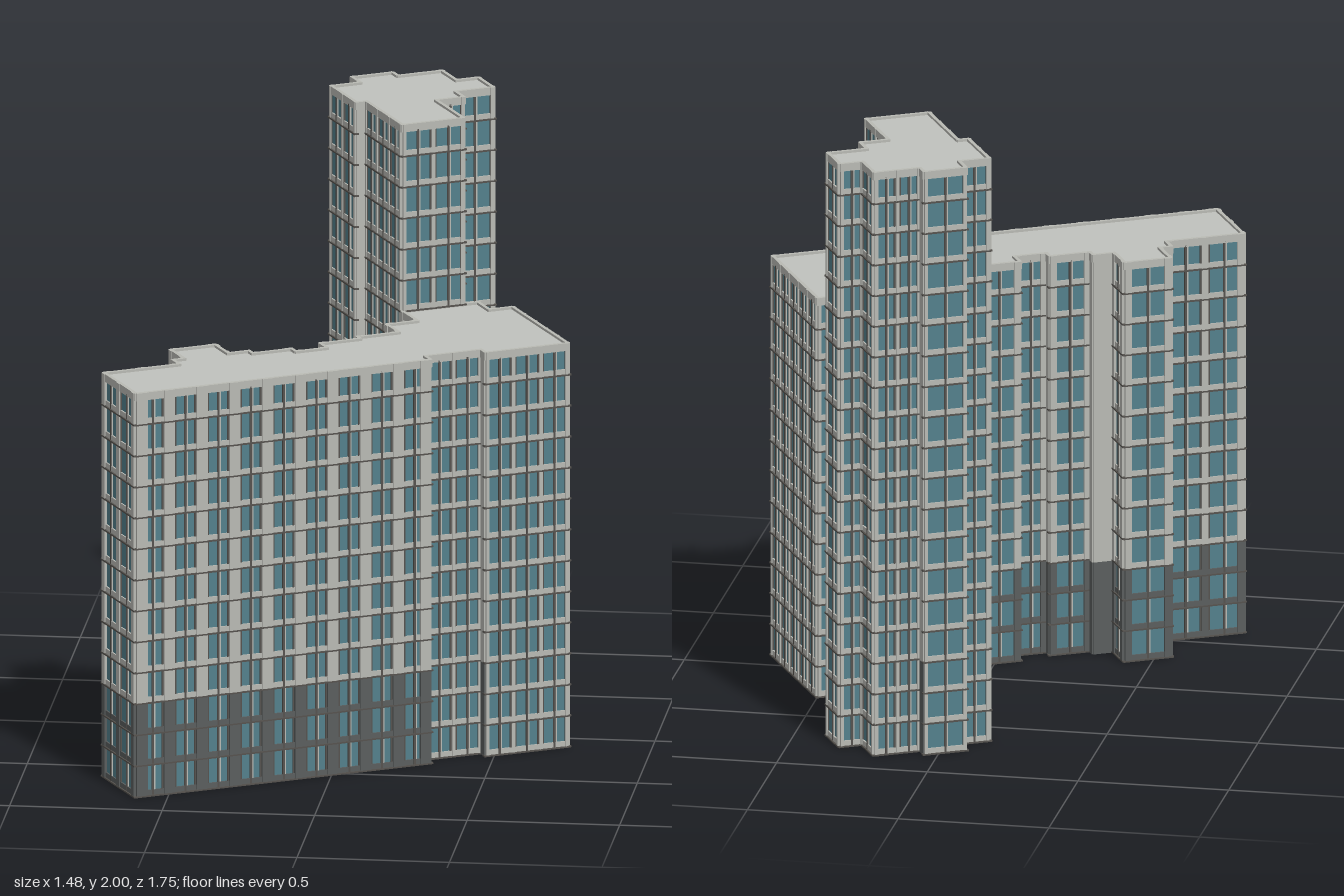
import * as THREE from 'three';
import { mergeGeometries } from 'three/addons/utils/BufferGeometryUtils.js';

const FLOOR = 0.105;   // storey height
const BASE = 0.315;    // top of the dark podium storeys

const mat = (name, color) => {
  const m = new THREE.MeshStandardMaterial({ color });
  m.name = name;
  return m;
};

// Stepped plans in the building's own axes: [along the long front, towards the front]
const MAIN = [
  [-0.945, 0.452], [0.095, 0.452], [0.095, 0.406], [0.292, 0.406], [0.292, 0.444], [0.583, 0.444],
  [0.583, -0.02], [0.5, -0.02], [0.5, -0.115], [0.233, -0.115], [0.233, 0.013], [0.125, 0.013],
  [0.125, 0.113], [-0.02, 0.113], [-0.02, 0.135], [-0.162, 0.135], [-0.162, 0.192], [-0.272, 0.192],
  [-0.272, 0.158], [-0.41, 0.158], [-0.41, 0.126], [-0.483, 0.126], [-0.483, 0.018], [-0.64, 0.018],
  [-0.64, 0.13], [-0.68, 0.13], [-0.68, 0.185], [-0.945, 0.185],
];
const TOWER = [
  [0.233, -0.115], [0.448, -0.115], [0.448, -0.343], [0.545, -0.343], [0.545, -0.412], [0.678, -0.412],
  [0.678, -0.537], [0.6, -0.537], [0.6, -0.657], [0.444, -0.657], [0.444, -0.7], [0.3, -0.7],
  [0.3, -0.63], [0.198, -0.63], [0.198, -0.417], [0.234, -0.417],
];

export function createModel() {
  const model = new THREE.Group();
  model.name = 'officeBuilding';
  const plan = new THREE.Group();
  plan.name = 'rotatedPlan';
  plan.rotation.y = 0.512;
  model.add(plan);

  const glass = mat('blue glass', 0x53808c);
  const stone = mat('light stone', 0xb9bab4);
  const dark = mat('dark podium stone', 0x5a5e5e);
  const frame = mat('window frame', 0x55524e);
  const roofMat = mat('roof grey', 0xc0c2bd);

  function wing(name, pts, height, isCurtain) {
    const group = new THREE.Group();
    group.name = name;
    plan.add(group);

    // Glass body with a flat roof
    const shape = new THREE.Shape(pts.map(([u, v]) => new THREE.Vector2(u, -v)));
    const body = new THREE.ExtrudeGeometry(shape, { depth: height - 0.008, bevelEnabled: false });
    body.rotateX(-Math.PI / 2);
    const core = new THREE.Mesh(body, [roofMat, glass]);
    core.name = 'glassBodyAndRoof';
    group.add(core);

    const parts = { wallPiersAndBands: [], podiumPiersAndBands: [], windowFrames: [] };
    const floors = Math.round(height / FLOOR);

    pts.forEach((a, i) => {
      const b = pts[(i + 1) % pts.length];
      const du = b[0] - a[0], dv = b[1] - a[1];
      const len = Math.hypot(du, dv), angle = Math.atan2(-dv, du);

      // Box on this wall: s along the wall, y0..y1 in height, standing out by d
      const put = (list, s, w, y0, y1, d) => {
        const g = new THREE.BoxGeometry(w, y1 - y0, d + 0.006);
        g.translate(s - len / 2, (y0 + y1) / 2, d / 2 - 0.003);
        g.rotateY(angle);
        g.translate((a[0] + b[0]) / 2, 0, (a[1] + b[1]) / 2);
        parts[list].push(g);
      };
      const pier = (s, w, d) => {
        put('podiumPiersAndBands', s, w, 0, BASE, d);
        put('wallPiersAndBands', s, w, BASE, height, d);
      };

      // Parapet
      put('wallPiersAndBands', len / 2, len + 0.008, height - 0.026, height, 0.006);

      // Short returns are solid wall
      if (len < 0.075) {
        pier(len / 2, len, 0.004);
        return;
      }

      // Floor bands with a thin projecting sill
      const curtain = isCurtain(i);
      for (let k = 0; k < floors; k++) {
        const y = k * FLOOR;
        const list = !curtain && y < BASE - 0.01 ? 'podiumPiersAndBands' : 'wallPiersAndBands';
        put(list, len / 2, len, y + 0.004, y + 0.022, 0.005);
        put('windowFrames', len / 2, len + 0.014, y, y + 0.005, 0.01);
      }

      // Piers at the bay lines and slim frames inside each bay
      const bays = Math.max(1, Math.round(len / (curtain ? 0.1 : 0.115)));
      const pitch = len / bays;
      const w = curtain ? 0.011 : i === 0 ? 0.038 : 0.022;
      for (let k = 0; k <= bays; k++) {
        const s = THREE.MathUtils.clamp(k * pitch, w / 2, len - w / 2);
        if (curtain) put('wallPiersAndBands', s, w, 0, height, 0.008);
        else pier(s, w, 0.009);
        if (k === bays) break;
        const mid = (k + 0.5) * pitch;
        put('windowFrames', mid, 0.007, 0, height - 0.02, 0.006);
        put('wallPiersAndBands', mid + 0.007, 0.004, 0, height - 0.02, 0.004);
        for (const side of [-1, 1]) {
          put('windowFrames', mid + side * (pitch / 2 - w / 2 - 0.004), 0.005, 0, height - 0.02, 0.004);
        }
      }
    });

    const materials = { wallPiersAndBands: stone, podiumPiersAndBands: dark, windowFrames: frame };
    for (const key in parts) {
      const mesh = new THREE.Mesh(mergeGeometries(parts[key]), materials[key]);
      mesh.name = key;
      group.add(mesh);
    }
  }

  // Main slab: curtain walls at its right end, piers elsewhere
  wing('mainSlab', MAIN, 1.37, (i) => i >= 2 && i <= 8);
  // Taller rear tower, curtain walls all round
  wing('rearTower', TOWER, 2.0, () => true);

  return model;
}
